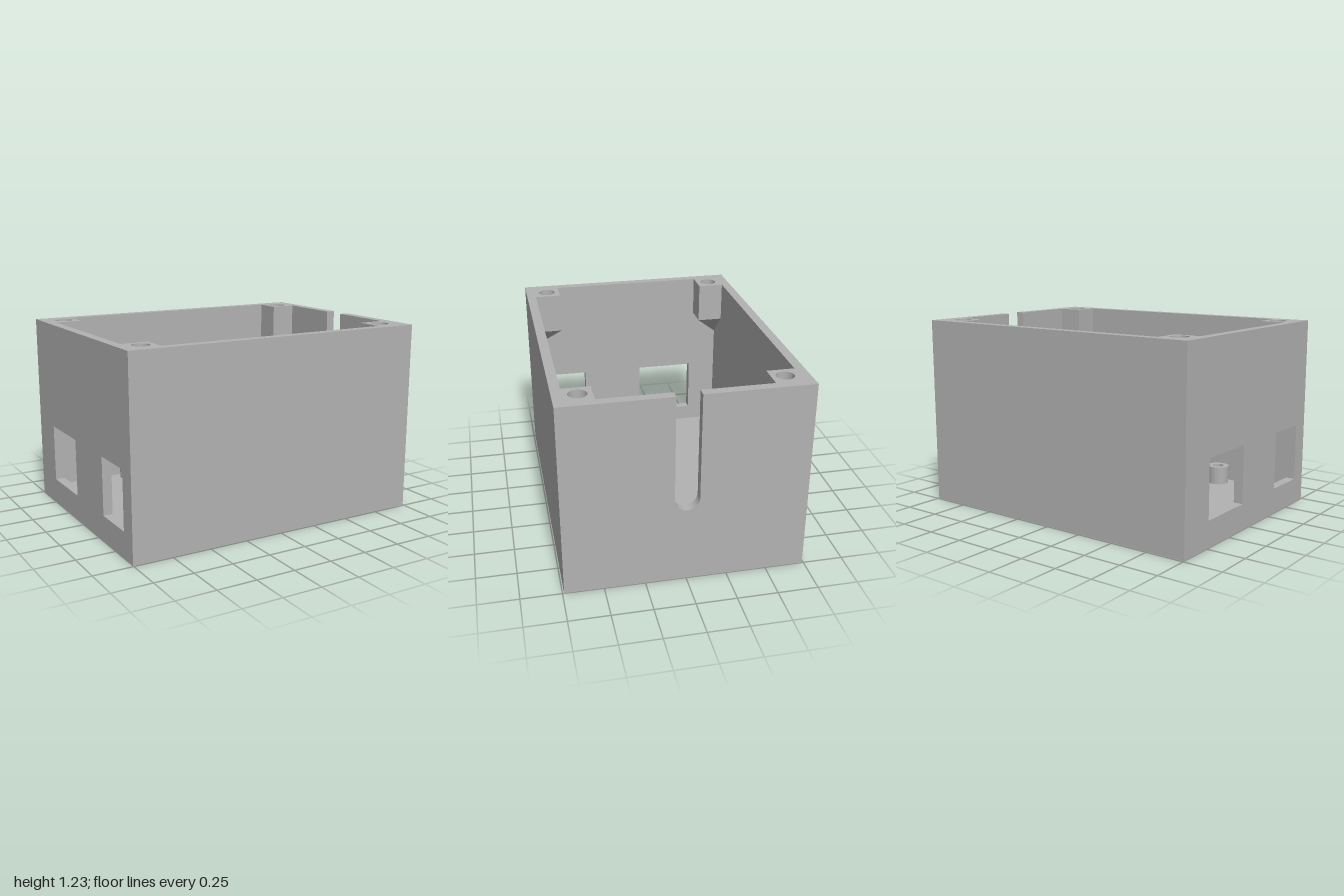
import * as THREE from 'three';
import { toCreasedNormals } from 'three/addons/utils/BufferGeometryUtils.js';

const W = 1, D = 0.74, H = 1.225; // half width, half depth, height
const T = 0.06;                   // wall and floor thickness
const POST = 0.17, POST_Y = 0.96; // corner post width and underside

function rect(x0, y0, x1, y1, PathType = THREE.Path) {
  const p = new PathType();
  p.moveTo(x0, y0).lineTo(x1, y0).lineTo(x1, y1).lineTo(x0, y1).closePath();
  return p;
}

function circle(r, PathType = THREE.Path) {
  return new PathType().absarc(0, 0, r, 0, Math.PI * 2, false);
}

function extrude(shape, depth) {
  const g = new THREE.ExtrudeGeometry(shape, { depth, bevelEnabled: false, curveSegments: 32 });
  return toCreasedNormals(g, 0.6);
}

export function createModel() {
  const model = new THREE.Group();
  model.name = 'enclosure';
  const grey = new THREE.MeshStandardMaterial({ color: 0xb2b2b2 });
  grey.name = 'grey plastic';

  const add = (name, geometry, x = 0, y = 0, z = 0, parent = model) => {
    const mesh = new THREE.Mesh(geometry, grey);
    mesh.name = name;
    mesh.position.set(x, y, z);
    parent.add(mesh);
    return mesh;
  };

  // Floor, front and back walls
  add('floor', new THREE.BoxGeometry(2 * (W - T), T, 2 * (D - T)), 0, T / 2, 0);
  for (const s of [1, -1]) {
    add(s > 0 ? 'frontWall' : 'backWall', new THREE.BoxGeometry(2 * W, H, T), 0, H / 2, s * (D - T / 2));
  }

  // Left wall with a round-bottomed cable slot open at the rim
  const e = D - T, r = 0.075, slotY = 0.56;
  const slotted = new THREE.Shape();
  slotted.moveTo(-e, 0).lineTo(e, 0).lineTo(e, H).lineTo(r, H).lineTo(r, slotY);
  slotted.absarc(0, slotY, r, 0, Math.PI, true);
  slotted.lineTo(-r, H).lineTo(-e, H).closePath();
  add('leftWall', extrude(slotted, T).rotateY(Math.PI / 2), W - T, 0, 0);

  // Right wall with two connector windows (shape x runs along -z)
  const windowed = rect(-e, 0, e, H, THREE.Shape);
  windowed.holes.push(rect(0.09, 0.167, 0.485, 0.537), rect(-0.625, 0.167, -0.33, 0.537));
  add('rightWall', extrude(windowed, T).rotateY(Math.PI / 2), -W, 0, 0);

  // Corner screw posts, each tapering down into its corner
  const postShape = rect(-POST / 2, -POST / 2, POST / 2, POST / 2, THREE.Shape);
  postShape.holes.push(circle(0.055));
  const postGeo = extrude(postShape, H - POST_Y).rotateX(-Math.PI / 2);

  const taperH = 0.16;
  let taperGeo = new THREE.ConeGeometry(POST / Math.SQRT2, taperH, 4);
  taperGeo.rotateY(Math.PI / 4).rotateX(Math.PI);
  const pos = taperGeo.attributes.position;
  for (let i = 0; i < pos.count; i++) {
    if (pos.getY(i) < 0) pos.setXYZ(i, POST / 2, -taperH / 2, POST / 2);
  }
  taperGeo = taperGeo.toNonIndexed();
  taperGeo.computeVertexNormals();

  [[1, 1], [1, -1], [-1, -1], [-1, 1]].forEach(([sx, sz], i) => {
    const post = new THREE.Group();
    post.name = 'cornerPost';
    post.position.set(sx * (W - T - POST / 2), POST_Y, sz * (D - T - POST / 2));
    post.rotation.y = i * Math.PI / 2;
    add('screwPost', postGeo, 0, 0, 0, post);
    add('postTaper', taperGeo, 0, -taperH / 2, 0, post);
    model.add(post);
  });

  // Hollow circuit board standoffs on the floor: x, z, outer radius, hole radius
  const standoffs = [
    [0.85, -0.225, 0.085, 0.055], [0.85, 0.465, 0.085, 0.055],
    [-0.4, -0.597, 0.073, 0.037], [-0.43, 0.59, 0.073, 0.037],
  ];
  for (const [x, z, outer, hole] of standoffs) {
    const ring = circle(outer, THREE.Shape);
    ring.holes.push(circle(hole));
    add('standoff', extrude(ring, 0.12).rotateX(-Math.PI / 2), x, T, z);
  }

  return model;
}
